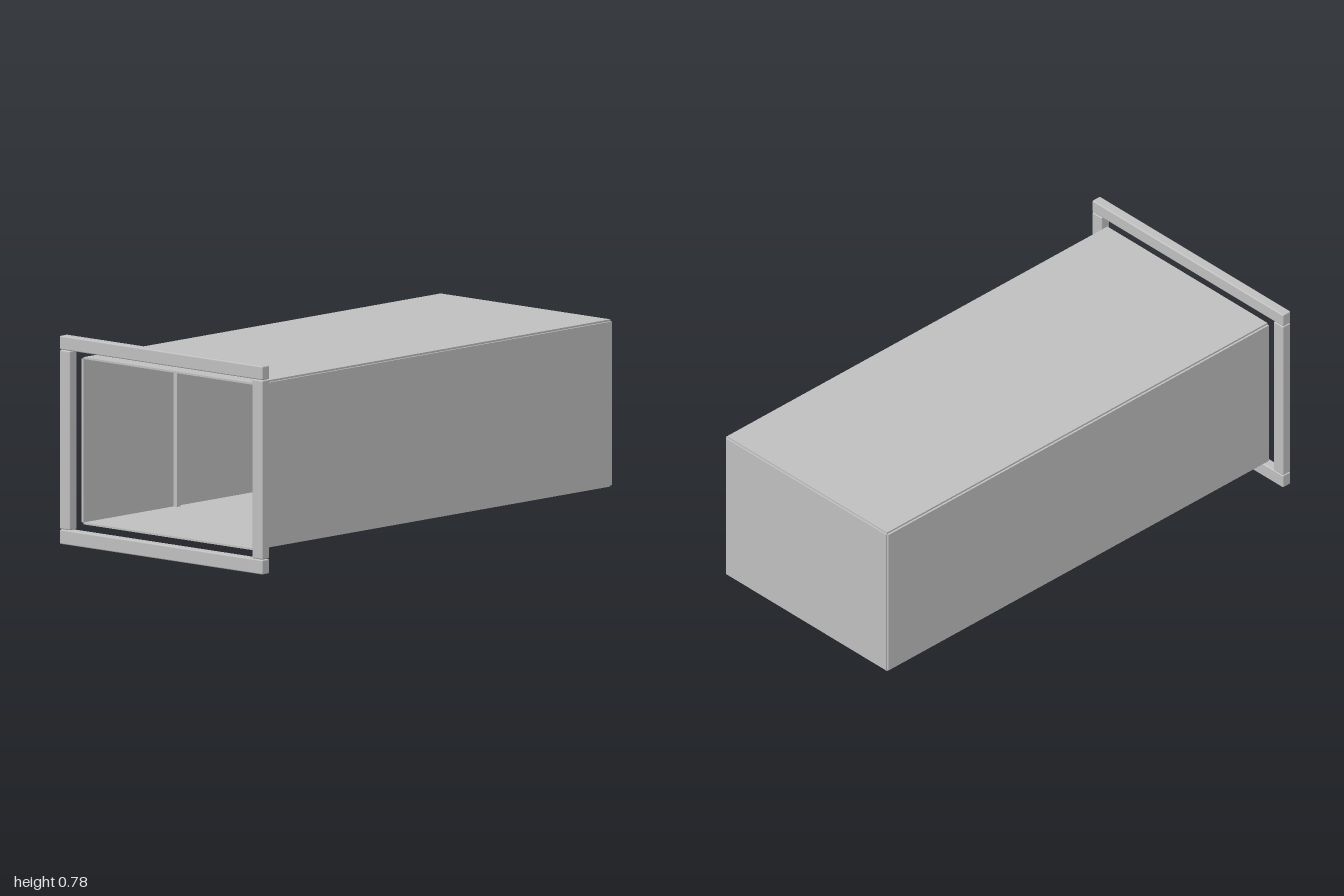
import * as THREE from 'three';
import { RoundedBoxGeometry } from 'three/addons/geometries/RoundedBoxGeometry.js';

export function createModel() {
  const model = new THREE.Group();
  model.name = 'openBoxWithFrame';
  const grey = new THREE.MeshStandardMaterial({ color: 0xc0c0c0 });
  grey.name = 'plainGrey';

  // Adds a part spanning the given [min, max] ranges, with optional eased edges.
  function slab(name, x, y, z, radius = 0) {
    const size = [x, y, z].map(([a, b]) => b - a);
    const geometry = radius
      ? new RoundedBoxGeometry(...size, 2, radius)
      : new THREE.BoxGeometry(...size);
    const mesh = new THREE.Mesh(geometry, grey);
    mesh.name = name;
    mesh.position.set(...[x, y, z].map(([a, b]) => (a + b) / 2));
    model.add(mesh);
  }

  // Thin shell panels, stepped where they meet at the corners.
  const length = [-0.96, 0.983];
  const height = [0.085, 0.697];
  const width = [-0.427, 0.427];
  slab('topPanel', length, [0.697, 0.704], width);
  slab('bottomPanel', length, [0.078, 0.085], width);
  slab('frontPanel', length, height, [0.427, 0.435]);
  slab('backPanel', length, height, [-0.435, -0.427]);
  slab('endPanel', [0.983, 0.99], height, width);

  // Rectangular frame around the open end.
  const depth = [-1, -0.96];
  slab('frameTopBar', depth, [0.728, 0.78], [-0.51, 0.51], 0.005);
  slab('frameBottomBar', depth, [0, 0.055], [-0.51, 0.51], 0.005);
  slab('frameFrontPost', depth, [0.056, 0.727], [0.459, 0.51], 0.005);
  slab('frameBackPost', depth, [0.056, 0.727], [-0.51, -0.459], 0.005);

  // Slim uprights against the inner walls.
  slab('innerFrontPost', [-0.47, -0.45], height, [0.409, 0.427]);
  slab('innerBackPost', [-0.47, -0.45], height, [-0.427, -0.409]);

  return model;
}
